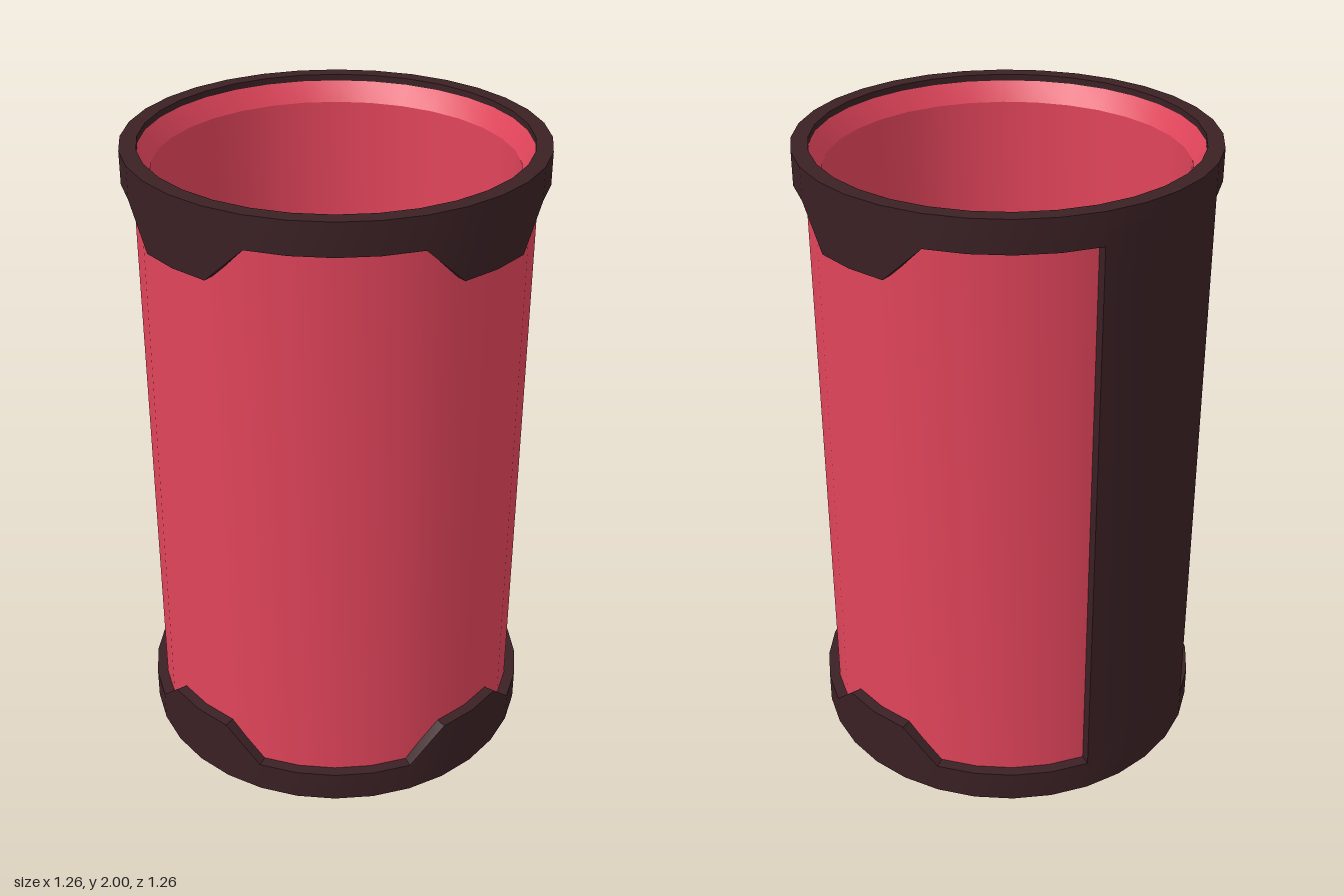
import * as THREE from 'three';
import { toCreasedNormals } from 'three/addons/utils/BufferGeometryUtils.js';

const SIDES = 32;
const STEP = (Math.PI * 2) / SIDES;
const OUTER = 0.63;
const HEIGHT = 2;

const red = new THREE.MeshStandardMaterial({ color: 0xe0445a });
const dark = new THREE.MeshStandardMaterial({ color: 0x3a2024 });

function addMesh(parent, name, geometry, material) {
  const mesh = new THREE.Mesh(geometry, material);
  mesh.name = name;
  parent.add(mesh);
  return mesh;
}

// Ring standing on y = 0 whose upper edge rises into four tabs
function tabbedRing(inner) {
  const positions = [];
  const index = [];
  for (let i = 0; i < SIDES; i++) {
    const a = i * STEP;
    const fromTab = Math.min(i % 8, 8 - (i % 8));
    const edge = fromTab <= 1 ? 0.215 : 0.1;
    const section = [[inner, 0], [OUTER, 0], [OUTER, edge], [inner, edge]];
    for (const [r, y] of section) positions.push(r * Math.sin(a), y, r * Math.cos(a));
    for (let k = 0; k < 4; k++) {
      const n = (i + 1) % SIDES;
      const k2 = (k + 1) % 4;
      const p = i * 4 + k, q = n * 4 + k, s = n * 4 + k2, t = i * 4 + k2;
      index.push(p, q, s, p, s, t);
    }
  }
  const geometry = new THREE.BufferGeometry();
  geometry.setAttribute('position', new THREE.Float32BufferAttribute(positions, 3));
  geometry.setIndex(index);
  return toCreasedNormals(geometry, 0.6);
}

// Upright curved plate, 45 degrees wide, centred on -x
function spineGeometry() {
  const shape = new THREE.Shape();
  const points = [];
  const at = (r, i) => new THREE.Vector2(r * Math.cos(Math.PI + i * STEP), r * Math.sin(Math.PI + i * STEP));
  for (let i = -2; i <= 2; i++) points.push(at(OUTER, i));
  for (let i = 2; i >= -2; i--) points.push(at(0.58, i));
  shape.setFromPoints(points);
  const geometry = new THREE.ExtrudeGeometry(shape, { depth: HEIGHT - 0.1, bevelEnabled: false });
  geometry.rotateX(-Math.PI / 2).translate(0, 0.05, 0);
  return toCreasedNormals(geometry, 0.6);
}

export function createModel() {
  const model = new THREE.Group();
  model.name = 'cup';

  // Red wall with a bevelled lip inside the top
  const profile = [
    [0.545, 0.04], [0.595, 0.04], [0.595, 1.98], [0.58, 1.98], [0.545, 1.92], [0.545, 0.04],
  ].map(([r, y]) => new THREE.Vector2(r, y));
  addMesh(model, 'wall', toCreasedNormals(new THREE.LatheGeometry(profile, SIDES), 0.4), red);

  // Floor plate
  const floor = addMesh(model, 'floor', new THREE.CylinderGeometry(0.55, 0.55, 0.03, SIDES), red);
  floor.position.y = 0.055;

  // Tabbed rims, the top one turned over
  addMesh(model, 'bottomRim', tabbedRing(0.55), dark);
  const topRim = addMesh(model, 'topRim', tabbedRing(0.58), dark);
  topRim.rotation.x = Math.PI;
  topRim.position.y = HEIGHT;

  // Spine joining the rims
  addMesh(model, 'spine', spineGeometry(), dark);

  // Ridged spokes crossing the floor, seen above and below it
  const ridge = new THREE.Shape([
    [-0.053, 0.03], [0, 0.015], [0.053, 0.03], [0.053, 0.08], [0, 0.1], [-0.053, 0.08],
  ].map(([x, y]) => new THREE.Vector2(x, y)));
  const spokeGeometry = new THREE.ExtrudeGeometry(ridge, { depth: 1.1, bevelEnabled: false });
  spokeGeometry.translate(0, 0, -0.55);
  for (let i = 0; i < 4; i++) {
    const spoke = addMesh(model, 'floorSpoke', spokeGeometry, dark);
    spoke.rotation.y = (i * Math.PI) / 4;
  }

  return model;
}
